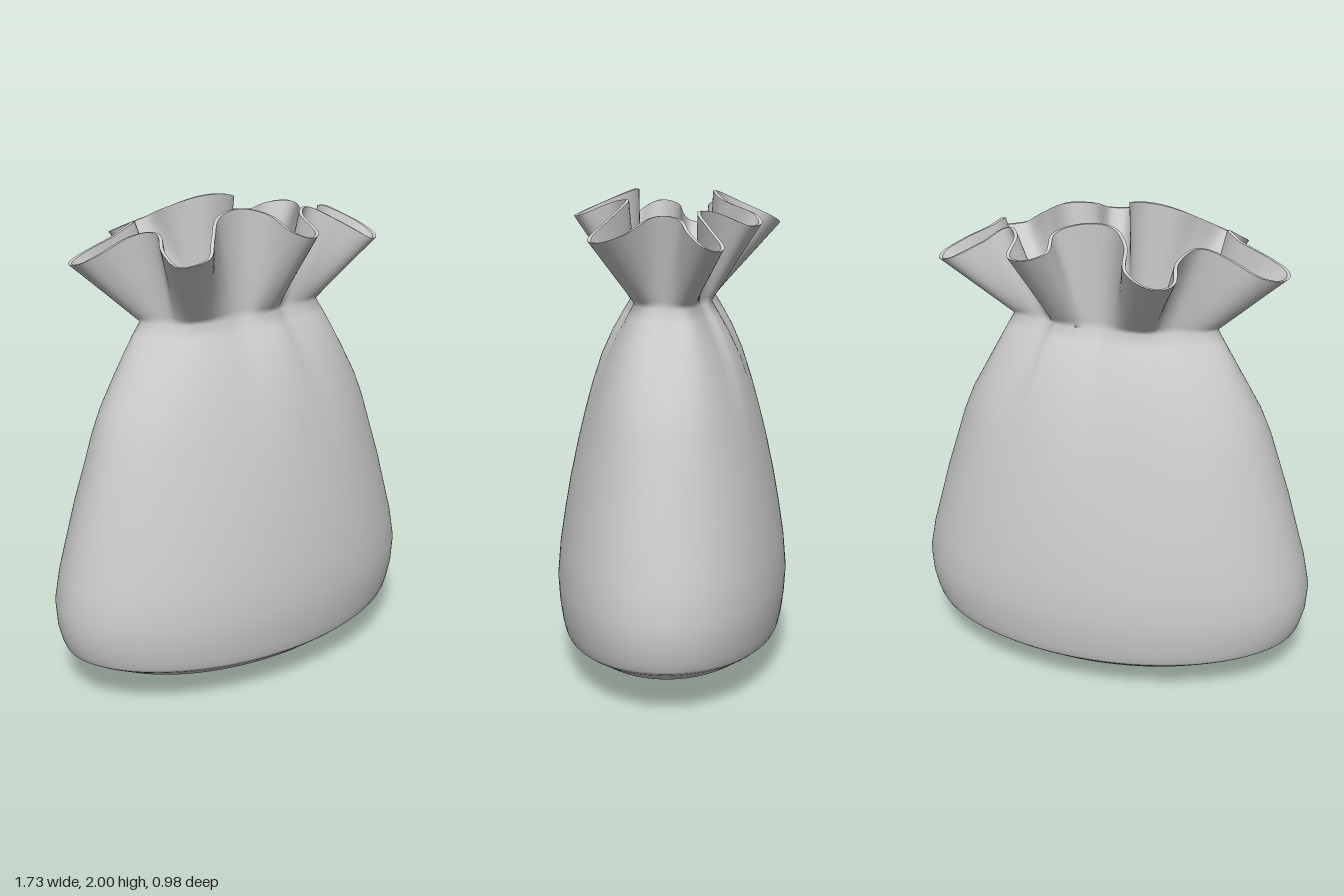
import * as THREE from 'three';

const COLS = 240;
const NECK = { a: 0.41, b: 0.168, y: 1.55 };

// Plan outline of the ruffled mouth: x, z pairs running left, back, right, front
const RIM = [
  -0.73, -0.085, -0.7, -0.14, -0.63, -0.168, -0.485, -0.145, -0.385, -0.17, -0.335, -0.275,
  -0.35, -0.38, -0.31, -0.435, -0.24, -0.45, -0.15, -0.4, -0.115, -0.275, -0.045, -0.195,
  0.07, -0.185, 0.175, -0.23, 0.17, -0.34, 0.26, -0.37, 0.35, -0.32, 0.36, -0.2,
  0.42, -0.13, 0.51, -0.175, 0.635, -0.228, 0.69, -0.2, 0.69, -0.15, 0.61, -0.085,
  0.52, -0.045, 0.505, 0.05, 0.58, 0.145, 0.575, 0.245, 0.49, 0.305, 0.375, 0.235,
  0.26, 0.175, 0.175, 0.235, 0.145, 0.37, 0.075, 0.405, 0.015, 0.355, -0.005, 0.235,
  -0.09, 0.17, -0.205, 0.18, -0.29, 0.26, -0.37, 0.335, -0.485, 0.29, -0.485, 0.175,
  -0.45, 0.1, -0.51, 0.02, -0.65, -0.002, -0.715, -0.03,
];

// Body sections: height, half width, half depth, strength of the gathers, lift at the sides
const BODY = [
  [0.16, 0.825, 0.46, 0, 0.03], [0.172, 0.832, 0.466, 0, 0.03], [0.21, 0.842, 0.475, 0, 0.02],
  [0.29, 0.858, 0.486, 0, 0], [0.39, 0.865, 0.492, 0, 0], [0.52, 0.84, 0.481, 0, 0],
  [0.66, 0.8, 0.46, 0, 0], [0.8, 0.762, 0.435, 0, 0], [0.95, 0.714, 0.403, 0, 0],
  [1.08, 0.672, 0.37, 0.03, 0], [1.19, 0.625, 0.338, 0.08, 0], [1.32, 0.55, 0.293, 0.17, 0],
  [1.42, 0.49, 0.245, 0.28, 0], [1.5, 0.44, 0.198, 0.4, 0], [NECK.y, NECK.a, NECK.b, 0.45, 0],
];

// Underside sections: height, scale of the seam ellipse
const BASE = [[0, 0], [0.012, 0.28], [0.038, 0.55], [0.067, 0.7], [0.1, 0.83], [0.15, 0.975]];

const wrap = (i) => (i + COLS) % COLS;

// Skins a list of closed rings; each ring holds COLS points
function loft(rings) {
  const pos = [], idx = [];
  for (const ring of rings) for (const p of ring) pos.push(p.x, p.y, p.z);
  for (let r = 0; r < rings.length - 1; r++) {
    for (let j = 0; j < COLS; j++) {
      const a = r * COLS + j, b = r * COLS + wrap(j + 1);
      idx.push(a, a + COLS, b, b, a + COLS, b + COLS);
    }
  }
  const geo = new THREE.BufferGeometry();
  geo.setAttribute('position', new THREE.Float32BufferAttribute(pos, 3));
  geo.setIndex(idx);
  geo.computeVertexNormals();
  return geo;
}

// Samples the mouth; lobes that flare farther out droop lower
function makeRim() {
  const pts = [];
  for (let i = 0; i < RIM.length; i += 2) pts.push(new THREE.Vector3(RIM[i], 0, RIM[i + 1]));
  const rim = new THREE.CatmullRomCurve3(pts, true, 'centripetal').getSpacedPoints(COLS).slice(0, COLS);
  const flare = rim.map((p) => {
    const e = Math.hypot(p.x / NECK.a, p.z / NECK.b);
    return Math.max(0, Math.hypot(p.x, p.z) * (1 - 1 / e));
  });
  rim.forEach((p, i) => { p.y = 2 - 0.43 * flare[i] - 0.04 * Math.min(1, (p.x / 0.5) ** 2); });
  return { rim, flare };
}

// Evens out the mouth's bearing so the columns run smoothly down the sack
function makeAngles(rim) {
  const raw = [];
  rim.forEach((p, i) => {
    let t = Math.atan2(p.z / NECK.b, p.x / NECK.a);
    while (i && t < raw[i - 1] - Math.PI) t += 2 * Math.PI;
    while (i && t > raw[i - 1] + Math.PI) t -= 2 * Math.PI;
    raw.push(t);
  });
  const at = (i) => raw[wrap(i)] + 2 * Math.PI * Math.floor(i / COLS);
  return raw.map((_, i) => {
    let sum = 0;
    for (let k = -20; k <= 20; k++) sum += at(i + k);
    return sum / 41;
  });
}

export function createModel() {
  const group = new THREE.Group();
  const material = new THREE.MeshStandardMaterial({ color: 0xcccccc, side: THREE.DoubleSide });
  const add = (name, rings) => {
    const mesh = new THREE.Mesh(loft(rings), material);
    mesh.name = name;
    group.add(mesh);
  };

  const { rim, flare } = makeRim();
  const angles = makeAngles(rim);
  const section = (y, a, b, gather, lift) => angles.map((t, i) => {
    const s = 1 + gather * (flare[i] - 0.12);
    return new THREE.Vector3(Math.cos(t) * a * s, y + lift * Math.cos(t) ** 2, Math.sin(t) * b * s);
  });

  // Underside, body and flared ruffle form one continuous cloth
  const base = BASE.map(([y, s]) => section(y, 0.825 * s, 0.46 * s, 0, 0.03 * s ** 4));
  const body = BODY.map((s) => section(...s));
  const neck = body[body.length - 1];
  const steps = [0, 0.08, 0.2, 0.35, 0.5, 0.65, 0.8, 0.92, 1];
  const ruffle = steps.map((f) => neck.map((p, i) => p.clone().lerp(rim[i], f)));
  add('sackCloth', [...base, ...body, ...ruffle.slice(1)]);

  // Inner face is the ruffle moved in by the cloth thickness
  const inset = (ring) => ring.map((p, i) => {
    const a = rim[wrap(i - 1)], b = rim[wrap(i + 1)];
    const dx = b.x - a.x, dz = b.z - a.z, len = Math.hypot(dx, dz);
    return new THREE.Vector3(p.x - dz / len * 0.014, p.y, p.z + dx / len * 0.014);
  });
  const inner = ruffle.map(inset).reverse();
  add('ruffleInside', inner);
  add('rimEdge', [rim, inner[0]]);

  // Flat floor closing the mouth at the neck
  add('mouthFloor', [neck, neck.map(() => new THREE.Vector3(0, NECK.y, 0))]);

  return group;
}
